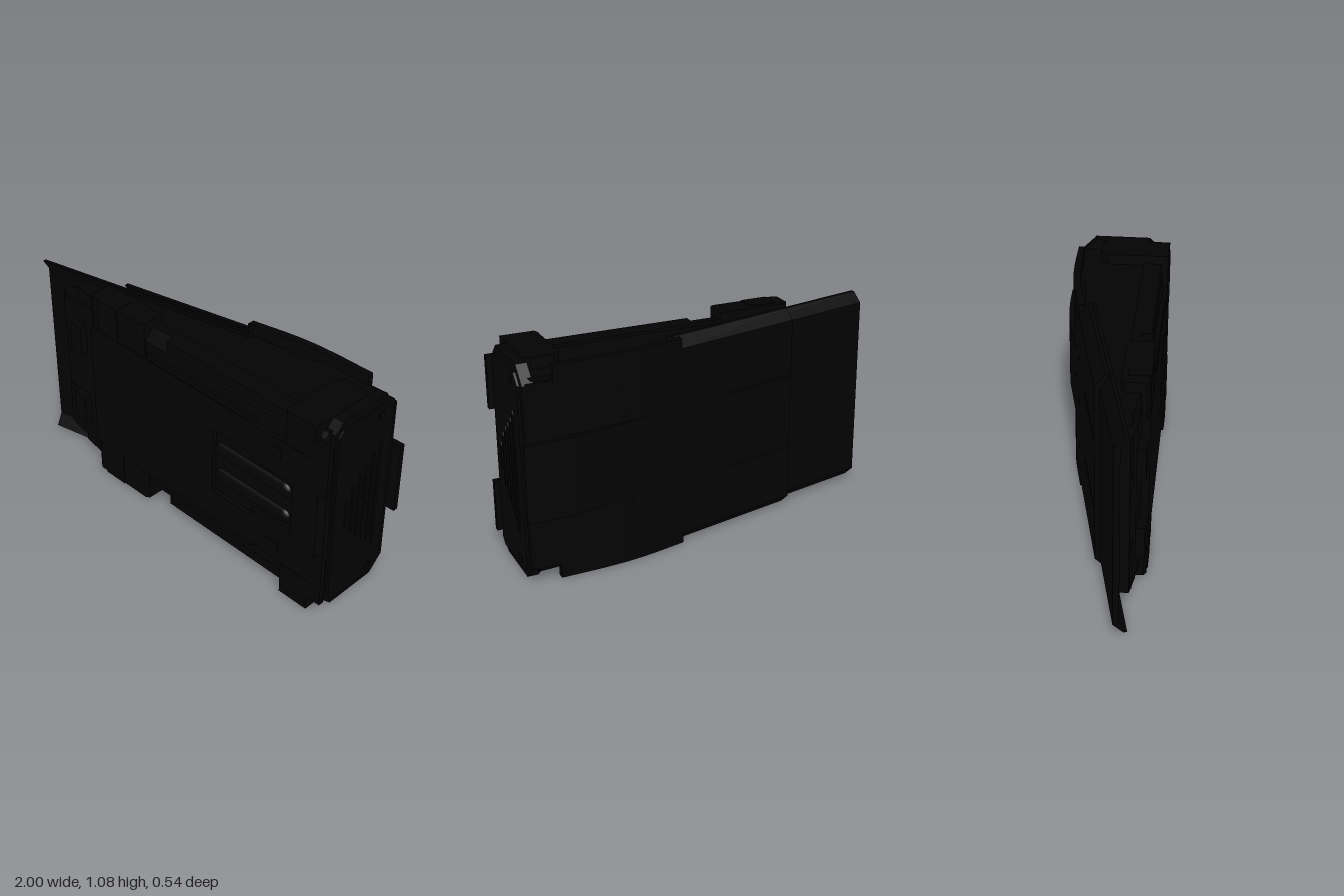
import * as THREE from 'three';

const MID = 0.547; // mirror height

export function createModel() {
  const model = new THREE.Group();
  const black = new THREE.MeshStandardMaterial({ color: 0x030303 });
  black.name = 'matte black';

  const add = (name, geo) => {
    const mesh = new THREE.Mesh(geo, black);
    mesh.name = name;
    model.add(mesh);
    return mesh;
  };
  const toShape = pts => new THREE.Shape(pts.map(p => new THREE.Vector2(p[0], p[1])));
  const extrude = (shape, depth) => new THREE.ExtrudeGeometry(shape, { depth, bevelEnabled: false });

  // outline given as [x, z], raised between heights measured from the middle
  const plan = (name, pts, h0, h1) => {
    const g = extrude(toShape(pts.map(([x, z]) => [x, -z])), h1 - h0);
    return add(name, g.rotateX(-Math.PI / 2).translate(0, MID + h0, 0));
  };
  const planMid = (name, pts, half) => plan(name, pts, -half, half);
  const planPair = (name, pts, h0, h1) => {
    plan(name + 'Top', pts, h0, h1);
    plan(name + 'Bottom', pts, -h1, -h0);
  };
  // section given as [z, height from the middle], run from x0 to x1
  const section = (name, pts, x0, x1) => {
    const g = extrude(toShape(pts.map(([z, h]) => [-z, h])), x1 - x0);
    return add(name, g.rotateY(Math.PI / 2).translate(x0, MID, 0));
  };
  const box = (name, x0, x1, h0, h1, z0, z1) =>
    add(name, new THREE.BoxGeometry(x1 - x0, h1 - h0, z1 - z0)
      .translate((x0 + x1) / 2, MID + (h0 + h1) / 2, (z0 + z1) / 2));
  const boxPair = (name, x0, x1, h0, h1, z0, z1) => {
    box(name + 'Top', x0, x1, h0, h1, z0, z1);
    box(name + 'Bottom', x0, x1, -h1, -h0, z0, z1);
  };

  // Sloping back plates: folded section [height, forward] swept along the slope
  const slope = Math.atan(0.22);
  const along = new THREE.Vector3(Math.cos(slope), 0, -Math.sin(slope));
  const forward = new THREE.Vector3(Math.sin(slope), 0, Math.cos(slope));
  const backPlate = (name, x, z, length, half, lip, thick) => {
    const edge = half - lip;
    const g = extrude(toShape([
      [-edge, 0], [edge, 0], [half, lip], [half, lip + thick * 0.6],
      [edge - 0.01, thick], [-edge + 0.01, thick], [-half, lip + thick * 0.6], [-half, lip],
    ]), length);
    g.applyMatrix4(new THREE.Matrix4()
      .makeBasis(new THREE.Vector3(0, 1, 0), forward, along)
      .setPosition(x, MID, z));
    return add(name, g);
  };
  backPlate('backPlate', -1, 0.14, 1.22, 0.527, 0.05, 0.03);
  backPlate('backSheath', -0.52, 0.01, 0.71, 0.538, 0.05, 0.035);
  for (const h of [-0.195, 0.195]) {
    const rib = backPlate('backRib', -0.52, 0.006, 0.42, 0.006, 0.002, 0.01);
    rib.position.y = h;
  }

  // Wedge body
  planMid('body', [
    [-0.56, 0.23], [-0.56, 0.08], [0.2, -0.108], [0.53, -0.147], [0.55, -0.175],
    [0.93, -0.2], [0.95, -0.17], [0.95, 0.15], [-0.18, 0.15], [-0.18, 0.23],
  ], 0.485);
  section('frontHull', [
    [0.14, -0.5], [0.19, -0.5], [0.24, -0.44], [0.245, -0.36],
    [0.245, 0.36], [0.24, 0.44], [0.19, 0.5], [0.14, 0.5],
  ], -0.18, 0.95);

  // Stepped tip with its brackets
  planMid('tipDeck', [[-0.84, 0.2], [-0.73, 0.22], [-0.56, 0.23], [-0.56, 0.1], [-0.84, 0.15]], 0.42);
  planMid('tipShoulder', [[-0.73, 0.2], [-0.56, 0.225], [-0.56, 0.1], [-0.73, 0.14]], 0.485);
  boxPair('tipBracket', -0.73, -0.65, 0.13, 0.3, 0.2, 0.264);
  boxPair('tipPad', -0.83, -0.73, 0.15, 0.4, 0.16, 0.212);

  // Back shell bending flat, its wider flaps, and the raised strip leaving it
  const shellOuter = [[0.16, -0.14], [0.32, -0.175], [0.4, -0.19], [0.5, -0.203], [0.62, -0.21], [0.83, -0.213]];
  const shellInner = [[0.83, -0.18], [0.62, -0.175], [0.5, -0.166], [0.4, -0.155], [0.16, -0.105]];
  planMid('backFlap', [...shellOuter, ...shellInner], 0.538);
  planMid('backShell', [[0.8, -0.2125], [0.96, -0.2135], [0.96, -0.185], [0.8, -0.184]], 0.465);
  planMid('backStrip', [
    [0.3, -0.171], [0.4, -0.193], [0.64, -0.245], [0.74, -0.259], [0.85, -0.267], [1, -0.272],
    [1, -0.245], [0.86, -0.24], [0.66, -0.22], [0.4, -0.165], [0.3, -0.143],
  ], 0.195);
  box('stripSpacer', 0.66, 0.94, -0.16, 0.16, -0.225, -0.17);

  // Wide clamps wrapping the front edges
  planMid('leftClamp', [
    [-0.56, 0.25], [-0.54, 0.262], [-0.2, 0.262], [-0.18, 0.25], [-0.18, 0.13], [-0.52, 0.13], [-0.56, 0.15],
  ], 0.538);
  boxPair('clampPad', -0.5, -0.36, 0.3, 0.541, 0.16, 0.266);
  planPair('rightClamp', [
    [0.74, 0.25], [0.75, 0.268], [0.92, 0.268], [0.92, -0.06], [0.89, -0.09], [0.78, -0.09], [0.74, -0.05],
  ], 0.36, 0.54);

  // Front panel with the grip recess and rounded bars
  const panel = toShape([[-0.56, 0.19], [0.95, 0.19], [0.95, 0.905], [-0.56, 0.905]]);
  panel.holes.push(new THREE.Path([
    [0.3, 0.36], [0.55, 0.36], [0.55, 0.4], [0.8, 0.4], [0.8, 0.7], [0.55, 0.7], [0.55, 0.735], [0.3, 0.735],
  ].map(p => new THREE.Vector2(p[0], p[1]))));
  add('frontPanel', extrude(panel, 0.03).translate(0, 0, 0.238));
  for (const y of [0.47, 0.625]) {
    const bar = add('gripBar', new THREE.CapsuleGeometry(0.04, 0.4, 6, 16).rotateZ(Math.PI / 2));
    bar.scale.z = 0.6;
    bar.position.set(0.54, y, 0.243);
  }

  // Rails and raised plates on the front
  boxPair('sideRail', -0.16, 0.55, 0.355, 0.385, 0.22, 0.262);
  boxPair('outerRail', -0.04, 0.73, 0.44, 0.5, 0.15, 0.235);
  boxPair('cornerSquare', 0.66, 0.73, 0.25, 0.31, 0.26, 0.271);
  boxPair('endPlate', 0.92, 1, 0.19, 0.46, 0.24, 0.268);

  // Chamfered end cap
  const octagon = (zBack, zFront, half, cut) => [
    [zBack, -half + cut], [zBack + cut, -half], [zFront - cut * 0.6, -half], [zFront, -half + cut * 0.6],
    [zFront, half - cut * 0.6], [zFront - cut * 0.6, half], [zBack + cut, half], [zBack, half - cut],
  ];
  section('endCollar', octagon(-0.213, 0.205, 0.538, 0.08), 0.92, 0.975);
  section('endRim', octagon(-0.15, 0.24, 0.5, 0.04), 0.92, 0.95);
  section('endCap', octagon(-0.18, 0.19, 0.5, 0.05), 0.97, 0.988);

  // Vent slats growing towards the back, and corner studs
  [0.075, 0.14, 0.185, 0.22, 0.26, 0.31].forEach((half, i) => {
    const z = 0.11 - i * 0.042;
    section('ventSlat', [
      [z - 0.008, -half + 0.02], [z, -half], [z + 0.008, -half + 0.02],
      [z + 0.008, half - 0.02], [z, half], [z - 0.008, half - 0.02],
    ], 0.98, 0.995);
  });
  boxPair('capStud', 0.98, 0.992, 0.435, 0.47, -0.11, -0.075);
  return model;
}
